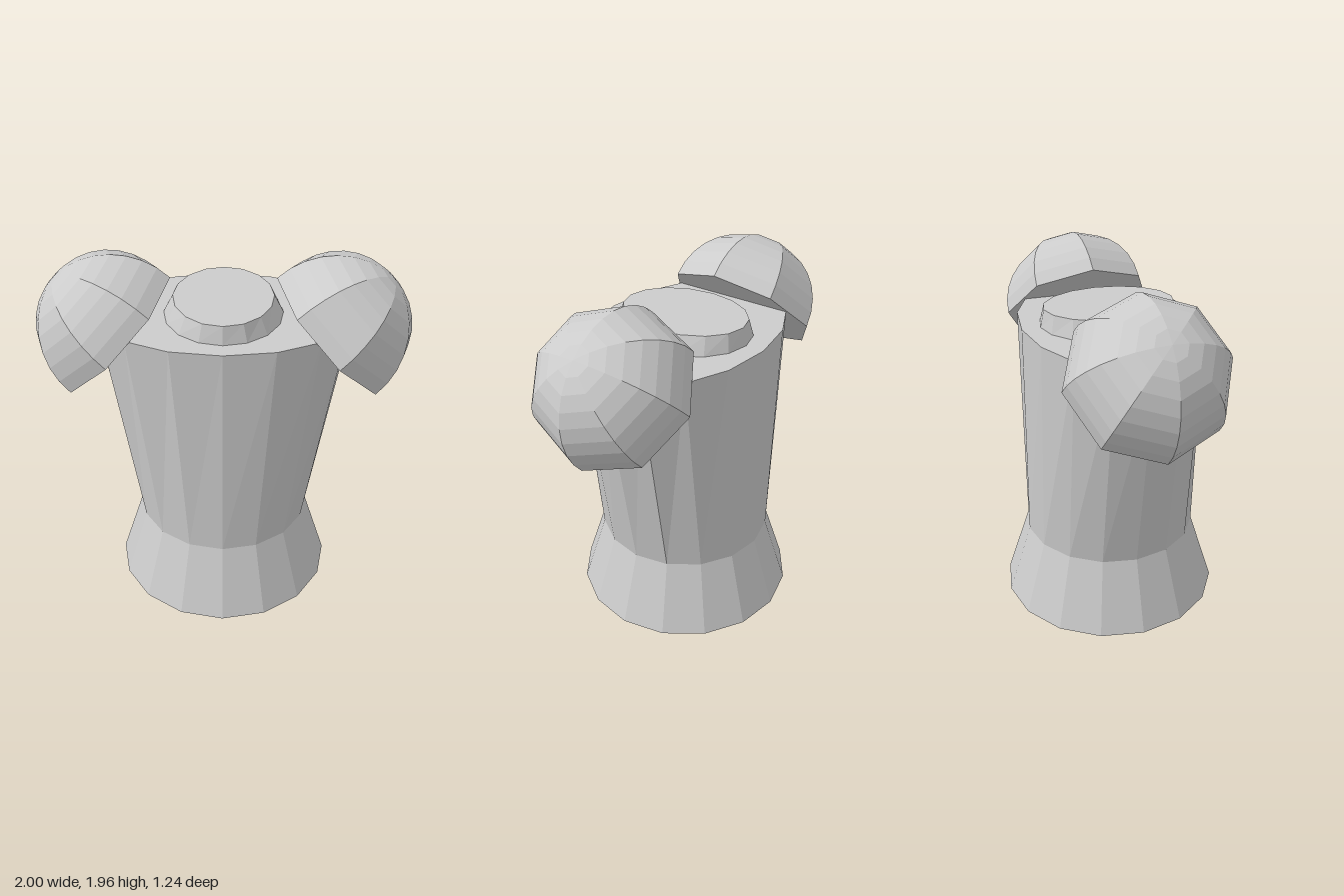
import * as THREE from 'three';

const material = new THREE.MeshStandardMaterial({ color: 0xcccccc, flatShading: true });

// Closed 16-sided loft through elliptical sections [y, radiusX, radiusZ], listed top to bottom.
function loft(name, sections) {
  const rows = sections.length - 1;
  const geometry = new THREE.CylinderGeometry(1, 1, 1, 16, rows);
  const p = geometry.attributes.position;
  for (let i = 0; i < p.count; i++) {
    const [y, rx, rz] = sections[Math.round((0.5 - p.getY(i)) * rows)];
    p.setXYZ(i, p.getX(i) * rx, y, p.getZ(i) * rz);
  }
  geometry.computeVertexNormals();
  const mesh = new THREE.Mesh(geometry, material);
  mesh.name = name;
  return mesh;
}

// Half dome with a flat underside, tilted outward by 45 degrees.
function shoulder(name, side) {
  const radius = 0.425;
  const group = new THREE.Group();
  group.name = name;
  const dome = new THREE.Mesh(
    new THREE.SphereGeometry(radius, 8, 8, 0, Math.PI * 2, 0, Math.PI / 2), material);
  dome.name = 'shoulderDome';
  const underside = new THREE.Mesh(
    new THREE.CircleGeometry(radius, 8).rotateX(Math.PI / 2), material);
  underside.name = 'shoulderUnderside';
  group.add(dome, underside);
  group.position.set(side * 0.575, 1.53, 0);
  group.rotation.z = -side * Math.PI / 4;
  return group;
}

export function createModel() {
  const model = new THREE.Group();
  model.name = 'armourTorso';

  // Body: wide oval chest, round waist, flared skirt
  model.add(loft('torso', [
    [1.64, 0.69, 0.475],
    [0.41, 0.487, 0.487],
    [0, 0.62, 0.62],
  ]));

  // Tapered collar on the chest
  model.add(loft('collar', [
    [1.735, 0.265, 0.355],
    [1.64, 0.315, 0.375],
  ]));

  // Shoulder guards
  model.add(shoulder('leftShoulder', 1), shoulder('rightShoulder', -1));
  return model;
}
